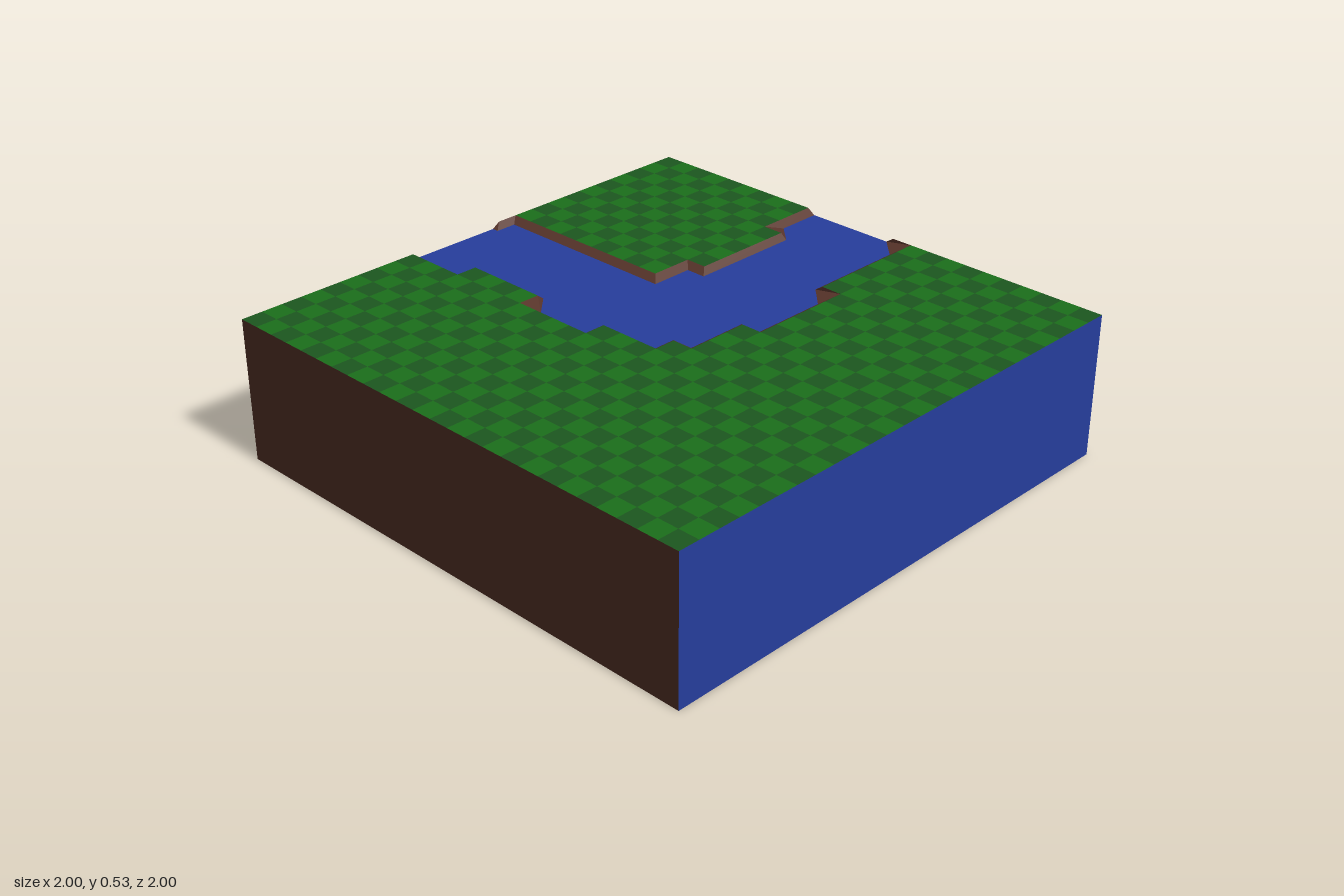
import * as THREE from 'three';

const TOP = 0.53, WATER = 0.51, BED = 0.485, CELLS = 25, CELL = 2 / CELLS;
const COLORS = {
  water: 0x263d9b, soil: 0x472d1f, redSoil: 0x4c2c23, bank: 0x58342a,
  base: 0x3a241c, grass: 0x1b6e1b, darkGrass: 0x1c571f,
};

// Matching points [landX, landZ, waterX, waterZ] along the two shores
const OUTER_SHORE = [
  [-0.28, -1, -0.255, -1], [-0.28, -0.76, -0.255, -0.79], [-0.2, -0.76, -0.175, -0.79],
  [-0.2, -0.44, -0.175, -0.44], [-0.28, -0.44, -0.255, -0.365], [-0.28, -0.12, -0.255, -0.15],
  [-0.2, -0.12, -0.175, -0.15], [-0.2, 0.12, -0.175, 0.09], [-0.12, 0.12, -0.09, 0.09],
  [-0.12, 0.2, -0.09, 0.17], [0.12, 0.2, 0.15, 0.17], [0.12, 0.28, 0.15, 0.25],
  [0.52, 0.28, 0.44, 0.25], [0.52, 0.2, 0.52, 0.17], [1, 0.2, 0.92, 0.17], [1, 0.12, 1, 0.09],
];
const INNER_SHORE = [
  [0.12, -1, 0.09, -1], [0.12, -1, 0.09, -0.975], [0.2, -1, 0.17, -0.975],
  [0.2, -0.28, 0.17, -0.25], [0.36, -0.28, 0.33, -0.25], [0.36, -0.2, 0.33, -0.175],
  [0.76, -0.2, 0.76, -0.175], [0.76, -0.28, 0.83, -0.25], [1, -0.28, 1, -0.25],
];

const land = ([x, z]) => [x, TOP, z];
const shore = ([, , x, z]) => [x, WATER, z];

function mesh(name, geometry, color) {
  const m = new THREE.Mesh(geometry, new THREE.MeshStandardMaterial({ color, side: THREE.DoubleSide }));
  m.name = name;
  return m;
}

// Flat-shaded mesh from a list of four-cornered faces
function quadMesh(name, quads, color) {
  const pos = quads.flatMap(([a, b, c, d]) => [...a, ...b, ...c, ...a, ...c, ...d]);
  const g = new THREE.BufferGeometry();
  g.setAttribute('position', new THREE.Float32BufferAttribute(pos, 3));
  g.computeVertexNormals();
  return mesh(name, g, color);
}

const flat = (points) => new THREE.ShapeGeometry(new THREE.Shape(points.map(([x, y]) => new THREE.Vector2(x, y))));

// Even-odd test against the land edge of the river
function insideRiver(x, z, loop) {
  let inside = false;
  loop.forEach(([ax, az], i) => {
    const [bx, bz] = loop[(i + 1) % loop.length];
    if ((az > z) !== (bz > z) && x < ax + ((z - az) * (bx - ax)) / (bz - az)) inside = !inside;
  });
  return inside;
}

export function createModel() {
  const model = new THREE.Group();
  model.name = 'riverBendTile';
  const innerBack = [...INNER_SHORE].reverse();

  // Chequered grass, left open along the river
  const riverLoop = [...OUTER_SHORE, ...innerBack];
  const cells = [[], []];
  for (let i = 0; i < CELLS; i++) {
    for (let j = 0; j < CELLS; j++) {
      const x = -1 + i * CELL, z = -1 + j * CELL;
      if (insideRiver(x + CELL / 2, z + CELL / 2, riverLoop)) continue;
      cells[(i + j) % 2].push([[x, TOP, z], [x, TOP, z + CELL], [x + CELL, TOP, z + CELL], [x + CELL, TOP, z]]);
    }
  }
  model.add(quadMesh('darkGrass', cells[0], COLORS.darkGrass), quadMesh('lightGrass', cells[1], COLORS.grass));

  // Sloping banks between grass and water
  const strip = (rows, a, b) => rows.slice(1).map((next, i) => [a(rows[i]), a(next), b(next), b(rows[i])]);
  model.add(
    quadMesh('outerBank', strip(OUTER_SHORE, land, shore), COLORS.bank),
    quadMesh('innerBank', strip(INNER_SHORE, shore, land), COLORS.bank),
  );

  // Water surface
  const surface = flat(riverLoop.map(([, , x, z]) => [x, -z])).rotateX(-Math.PI / 2).translate(0, WATER, 0);
  model.add(mesh('waterSurface', surface, COLORS.water));

  // Side walls; the river cuts a notch in two of them, closed by the water's end
  const notch = [[0.28, TOP], [0.255, WATER], [0.215, BED], [-0.05, BED], [-0.09, WATER], [-0.12, TOP]];
  const sides = [
    ['frontWall', 0, COLORS.water, false],
    ['leftSideWall', Math.PI / 2, COLORS.soil, true],
    ['backWall', Math.PI, COLORS.darkGrass, true],
    ['rightSideWall', -Math.PI / 2, COLORS.redSoil, false],
  ];
  for (const [name, angle, color, open] of sides) {
    const outline = [[-1, 0], [1, 0], [1, TOP], ...(open ? notch : []), [-1, TOP]];
    model.add(mesh(name, flat(outline).translate(0, 0, 1).rotateY(angle), color));
    if (open) model.add(mesh('riverEnd', flat(notch.slice(1, 5)).translate(0, 0, 1).rotateY(angle), COLORS.water));
  }

  // Underside
  model.add(mesh('underside', new THREE.PlaneGeometry(2, 2).rotateX(Math.PI / 2), COLORS.base));
  return model;
}
